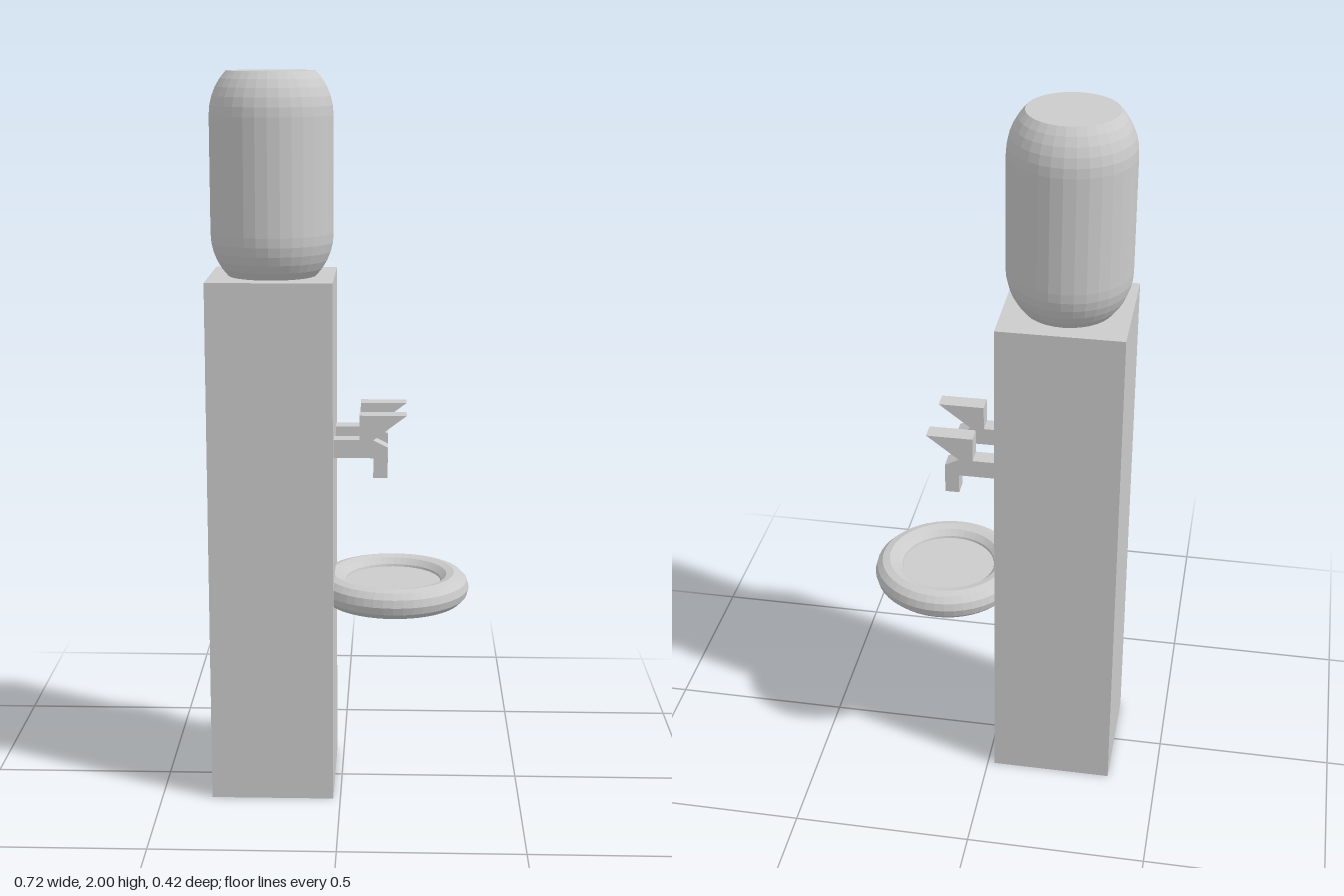
import * as THREE from 'three';

export function createModel() {
  const group = new THREE.Group();
  const mat = new THREE.MeshStandardMaterial({ color: 0xcccccc, flatShading: true });
  const add = (name, geometry, x, y, z) => {
    const mesh = new THREE.Mesh(geometry, mat);
    mesh.name = name;
    mesh.position.set(x, y, z);
    group.add(mesh);
    return mesh;
  };

  // Square column
  const columnX = -0.19, columnTop = 1.455;
  add('column', new THREE.BoxGeometry(0.34, columnTop, 0.34), columnX, columnTop / 2, 0);

  // Water bottle: a capsule cut flat at both ends
  const radius = 0.167, flat = 0.12, steps = 5;
  const arc = Math.acos(flat / radius);
  const rise = radius * Math.sin(arc);
  const profile = [new THREE.Vector2(0, columnTop)];
  for (let i = 0; i <= steps; i++) {
    const a = arc * (1 - i / steps);
    profile.push(new THREE.Vector2(radius * Math.cos(a), columnTop + rise - radius * Math.sin(a)));
  }
  for (let i = 0; i <= steps; i++) {
    const a = arc * i / steps;
    profile.push(new THREE.Vector2(radius * Math.cos(a), 2 - rise + radius * Math.sin(a)));
  }
  profile.push(new THREE.Vector2(0, 2));
  add('bottle', new THREE.LatheGeometry(profile, 32), columnX, 0, 0);

  // Pair of taps: stem, spout and slanted lever in one outline
  const tap = new THREE.Shape([
    [-0.03, 0.97], [0.088, 0.97], [0.088, 0.915], [0.127, 0.915], [0.127, 1.0],
    [0.088, 1.02], [0.178, 1.088], [0.05, 1.088], [0.05, 1.02], [-0.03, 1.02],
  ].map(([x, y]) => new THREE.Vector2(x, y)));
  const tapWidth = 0.05;
  for (const side of [-1, 1]) {
    const geometry = new THREE.ExtrudeGeometry(tap, { depth: tapWidth, bevelEnabled: false });
    add(side > 0 ? 'frontTap' : 'backTap', geometry, 0, 0, side * 0.086 - tapWidth / 2);
  }

  // Drip tray: ring with a thin plate filling it
  const trayX = 0.145, trayY = 0.575;
  add('trayRing', new THREE.TorusGeometry(0.17, 0.042, 12, 48), trayX, trayY, 0).rotation.x = Math.PI / 2;
  add('trayPlate', new THREE.CylinderGeometry(0.135, 0.135, 0.03, 48), trayX, trayY, 0);

  return group;
}
